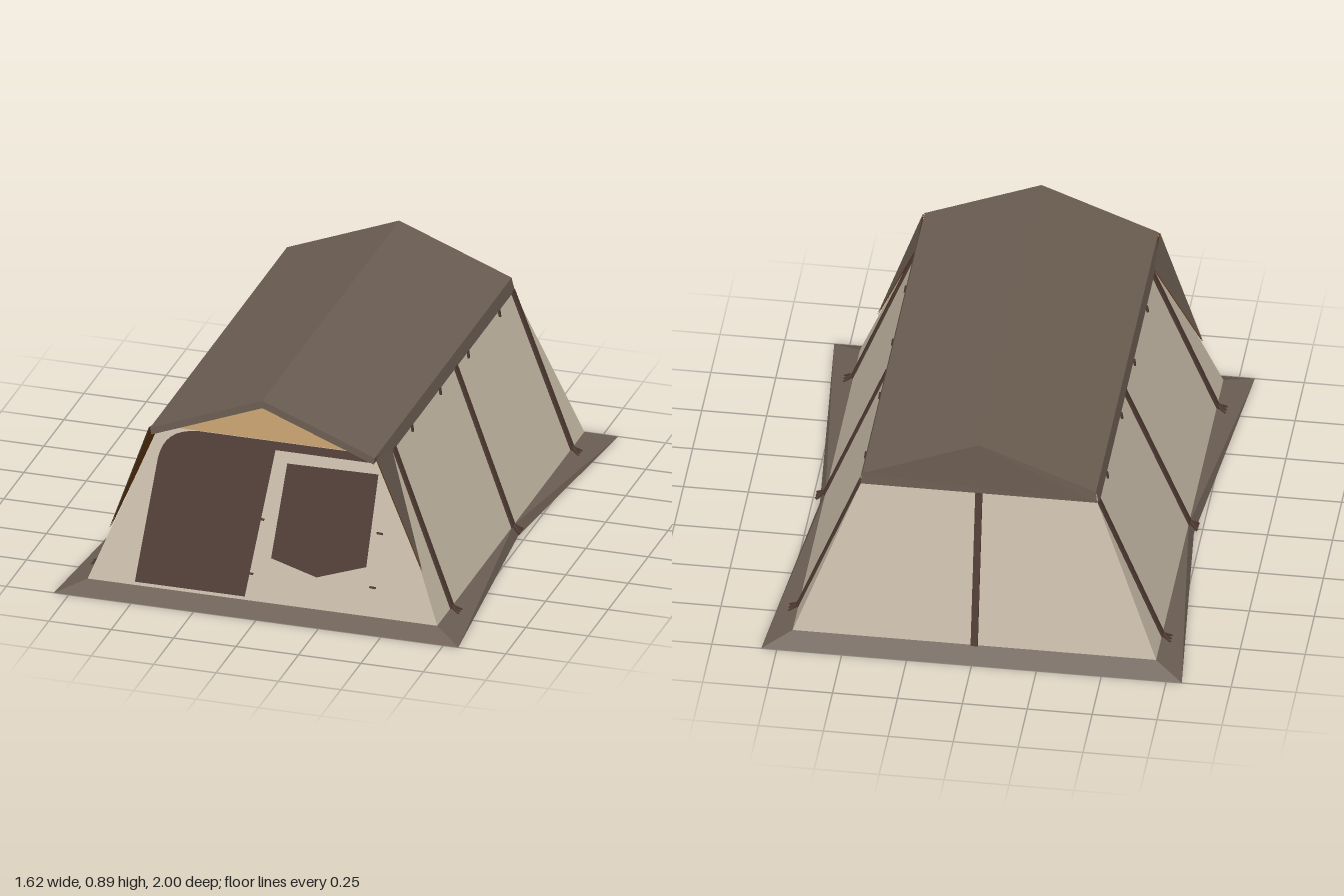
import * as THREE from 'three';

const mat = (name, color, side = THREE.DoubleSide) => {
  const m = new THREE.MeshStandardMaterial({ color, side });
  m.name = name;
  return m;
};

export function createModel() {
  const tent = new THREE.Group();
  tent.name = 'tent';
  const canvas = mat('canvas', 0xc9bda9);
  const roofCloth = mat('roof cloth', 0x6b5d52);
  const dark = mat('dark trim', 0x4d3931);
  const gold = mat('gable trim', 0xbe9a68);
  const amber = mat('amber lining', 0x673b10);

  const add = (name, geo, material) => {
    const m = new THREE.Mesh(geo, material);
    m.name = name;
    tent.add(m);
    return m;
  };

  // Flat convex polygon made as a triangle fan
  const sheet = (name, material, ...pts) => {
    const v = [];
    for (let i = 1; i < pts.length - 1; i++) v.push(...pts[0], ...pts[i], ...pts[i + 1]);
    const g = new THREE.BufferGeometry();
    g.setAttribute('position', new THREE.Float32BufferAttribute(v, 3));
    g.computeVertexNormals();
    return add(name, g, material);
  };

  // Flat strap from a to b, its thickness along the given outward normal
  const strap = (name, a, b, width, thick, normal) => {
    const A = new THREE.Vector3(...a), B = new THREE.Vector3(...b);
    const y = B.clone().sub(A), len = y.length();
    y.normalize();
    const x = y.clone().cross(new THREE.Vector3(...normal)).normalize();
    const z = x.clone().cross(y);
    const m = add(name, new THREE.BoxGeometry(width, len, thick), dark);
    m.quaternion.setFromRotationMatrix(new THREE.Matrix4().makeBasis(x, y, z));
    m.position.copy(A).add(B).multiplyScalar(0.5);
  };

  // Sloping wall planes
  const sideX = y => 0.7 - (y - 0.04) * 0.393;
  const endZ = y => 0.92 - (y - 0.04) * 0.208;

  // Ground skirt, pinched in at the middle of the long sides
  for (const s of [1, -1]) {
    sheet(s > 0 ? 'frontSkirt' : 'backSkirt', roofCloth,
      [-0.81, 0, s], [0.81, 0, s], [0.7, 0.04, 0.92 * s], [-0.7, 0.04, 0.92 * s]);
    for (const e of [1, -1]) {
      sheet('sideSkirt', roofCloth,
        [0.81 * s, 0, e], [0.72 * s, 0, -0.03], [0.7 * s, 0.04, -0.03], [0.7 * s, 0.04, 0.92 * e]);
    }
  }

  // Canvas walls
  const top = 0.67;
  for (const s of [1, -1]) {
    sheet(s > 0 ? 'frontWall' : 'backWall', canvas,
      [-0.7, 0.04, 0.92 * s], [0.7, 0.04, 0.92 * s],
      [sideX(top), top, endZ(top) * s], [-sideX(top), top, endZ(top) * s]);
    sheet(s > 0 ? 'leftWall' : 'rightWall', canvas,
      [0.7 * s, 0.04, 0.92], [0.7 * s, 0.04, -0.92],
      [sideX(0.7) * s, 0.7, -endZ(0.7)], [sideX(0.7) * s, 0.7, endZ(0.7)]);
  }

  // Roof chevron with a front overhang
  const chevron = new THREE.Shape([
    [-0.45, 0.71], [-0.445, 0.682], [0, 0.856], [0.445, 0.682], [0.45, 0.71], [0, 0.887],
  ].map(p => new THREE.Vector2(...p)));
  const roof = new THREE.ExtrudeGeometry(chevron, { depth: 1.71, bevelEnabled: false });
  roof.translate(0, 0, -0.79);
  add('roof', roof, roofCloth);

  // Gables
  sheet('backGable', roofCloth,
    [-0.455, 0.665, -0.795], [0.455, 0.665, -0.795], [0.45, 0.71, -0.792], [0, 0.886, -0.792], [-0.45, 0.71, -0.792]);
  sheet('frontGable', gold,
    [-0.452, 0.665, 0.797], [0.452, 0.665, 0.797], [0.443, 0.69, 0.792], [0, 0.86, 0.757], [-0.443, 0.69, 0.792]);
  for (const d of [0.006, -0.006]) {
    sheet('gableWindow', amber,
      [-0.34, 0.702, endZ(0.702) + d], [0.34, 0.702, endZ(0.702) + d], [0, 0.836, endZ(0.836) + d]);
  }

  for (const s of [1, -1]) {
    // Valance below the eaves
    sheet('valance', roofCloth,
      [0.45 * s, 0.71, 0.92], [0.45 * s, 0.71, -0.79], [0.463 * s, 0.66, -0.79], [0.463 * s, 0.66, 0.74]);

    // Triangular wings beside the porch, lined inside
    const wing = d => [
      [(sideX(0.71) + 0.012 + d) * s, 0.71, 0.92],
      [(sideX(0.24) + d) * s, 0.24, 0.88],
      [(sideX(0.67) + d) * s, 0.67, 0.735]];
    sheet('porchWing', roofCloth, ...wing(0.007));
    sheet('porchWingLining', amber, ...wing(0.003));

    // Side straps with tied ends at the ground
    for (const [z0, z1] of [[0.745, 0.71], [-0.02, -0.06], [-0.758, -0.775]]) {
      strap('sideStrap', [0.705 * s, 0.04, z0], [(sideX(0.665) + 0.005) * s, 0.665, z1], 0.027, 0.01, [s, 0.39, 0]);
      for (const k of [-1, 0, 1]) {
        strap('strapTie', [0.7 * s, 0.05, z0], [0.735 * s, 0.025, z0 + k * 0.022], 0.009, 0.009, [0, 1, 0]);
      }
    }

    // Eave toggles
    for (const z of [0.5, 0.15, -0.2, -0.59]) {
      strap('eaveToggle', [0.464 * s, 0.665, z], [0.468 * s, 0.638, z], 0.01, 0.008, [s, 0, 0]);
    }
  }
  strap('backStrap', [0, 0.04, -0.925], [0, 0.665, -0.797], 0.027, 0.01, [0, 0.2, -1]);

  // Front openings, laid on the sloping wall
  const plate = (name, shape) => {
    const g = new THREE.ShapeGeometry(shape, 8);
    const p = g.attributes.position;
    for (let i = 0; i < p.count; i++) p.setZ(i, endZ(p.getY(i)) + 0.006);
    g.computeVertexNormals();
    add(name, g, dark);
  };
  const door = new THREE.Shape();
  door.moveTo(-0.51, 0.055);
  door.lineTo(-0.07, 0.055);
  door.lineTo(0.015, 0.63);
  door.lineTo(0.395, 0.63);
  door.lineTo(0.395, 0.663);
  door.lineTo(-0.3, 0.663);
  door.bezierCurveTo(-0.39, 0.655, -0.435, 0.62, -0.45, 0.54);
  door.closePath();
  plate('door', door);
  plate('frontWindow', new THREE.Shape([
    [0.025, 0.215], [0.21, 0.165], [0.405, 0.23], [0.43, 0.59], [0.065, 0.585],
  ].map(p => new THREE.Vector2(...p))));

  // Small toggles beside the openings
  for (const [x, y] of [[-0.012, 0.565], [-0.025, 0.36], [-0.055, 0.147], [0.45, 0.366], [0.435, 0.156]]) {
    strap('frontToggle', [x - 0.012, y, endZ(y) + 0.006], [x + 0.012, y - 0.002, endZ(y) + 0.006], 0.007, 0.008, [0, 0.2, 1]);
  }
  return tent;
}
